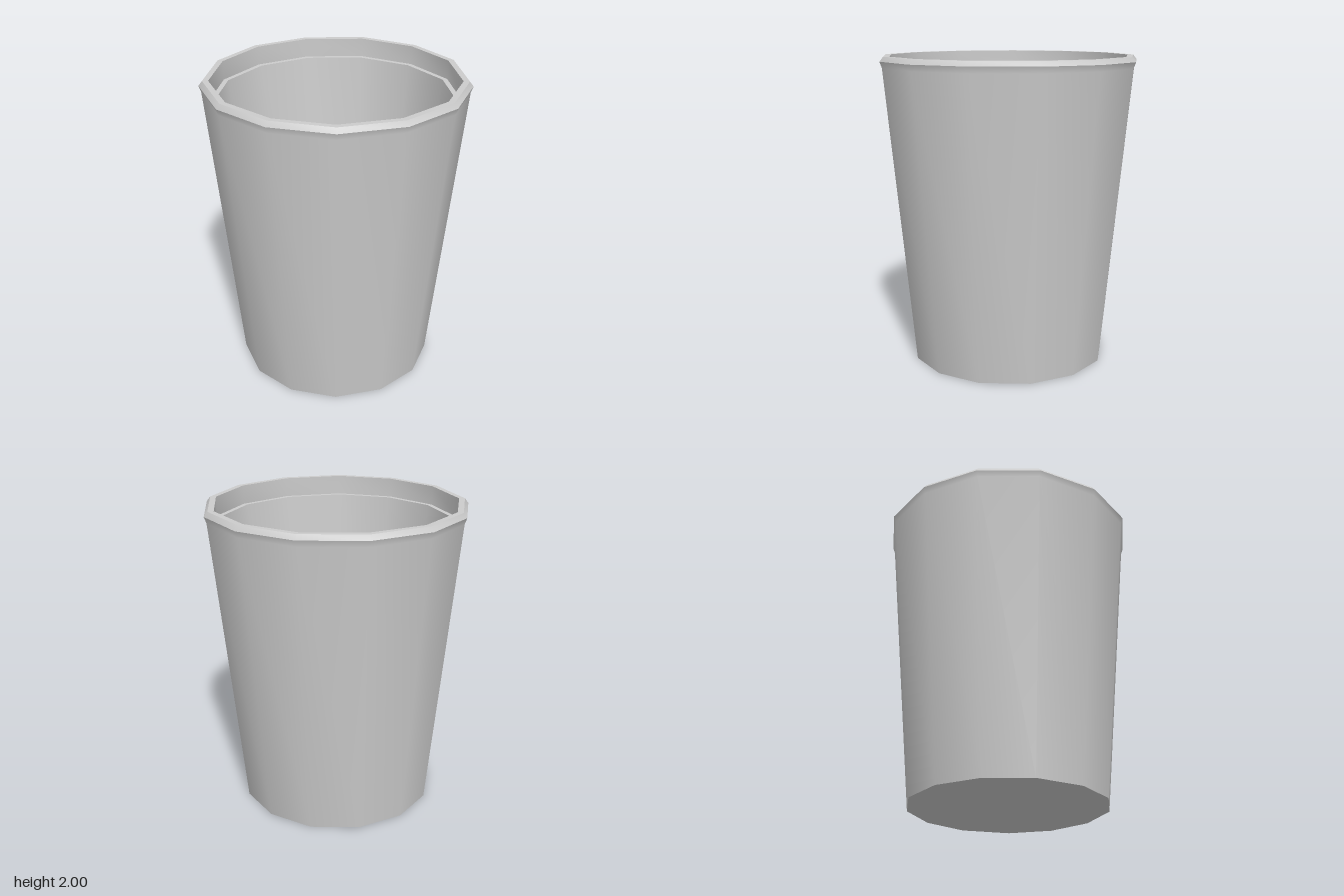
import * as THREE from 'three';
import { mergeGeometries } from 'three/addons/utils/BufferGeometryUtils.js';

// Slightly uneven 13-sided rim outline as [x, z], counterclockwise from above
const OUTLINE = [
  [-0.832, 0.001], [-0.722, 0.404], [-0.456, 0.695], [-0.08, 0.836], [0.325, 0.778],
  [0.652, 0.547], [0.832, 0.198], [0.828, -0.228], [0.635, -0.575],
  [0.304, -0.798], [-0.107, -0.84], [-0.481, -0.691], [-0.737, -0.391],
];

// Sweeps a [scale, y] profile around the outline as one smooth surface
function sweep(profile) {
  const n = OUTLINE.length;
  const positions = [];
  const index = [];
  profile.forEach(([scale, y], k) => {
    for (const [x, z] of OUTLINE) positions.push(x * scale, y, z * scale);
    if (k === 0) return;
    const below = (k - 1) * n;
    const above = k * n;
    for (let i = 0; i < n; i++) {
      const j = (i + 1) % n;
      // A ring shrunk to the centre gives a fan of single triangles
      if (profile[k - 1][0] > 0) index.push(below + i, below + j, above + i);
      if (scale > 0) index.push(below + j, above + j, above + i);
    }
  });
  const geometry = new THREE.BufferGeometry();
  geometry.setAttribute('position', new THREE.Float32BufferAttribute(positions, 3));
  geometry.setIndex(index);
  geometry.computeVertexNormals();
  return geometry;
}

export function createModel() {
  const group = new THREE.Group();
  group.name = 'cup';
  const material = new THREE.MeshStandardMaterial({ color: 0xcccccc });

  // Each part is a list of smooth surfaces meeting at sharp edges
  const parts = {
    // Slightly dished underside
    underside: [[[0, 0.06], [0.764, 0]]],
    // Tapered wall running smoothly into the flared lip
    outerWall: [[[0.764, 0], [0.983, 1.93], [1, 1.97]]],
    // Bevel, flat top and the step inside the mouth
    rim: [
      [[1, 1.97], [0.972, 2]],
      [[0.972, 2], [0.927, 2]],
      [[0.927, 2], [0.927, 1.875]],
      [[0.927, 1.875], [0.888, 1.875]],
    ],
    // Wall parallel to the outer one, down to a thick floor
    innerWall: [[[0.888, 1.875], [0.704, 0.21]]],
    floor: [[[0.704, 0.21], [0, 0.21]]],
  };
  for (const [name, surfaces] of Object.entries(parts)) {
    const mesh = new THREE.Mesh(mergeGeometries(surfaces.map(sweep)), material);
    mesh.name = name;
    group.add(mesh);
  }
  return group;
}
